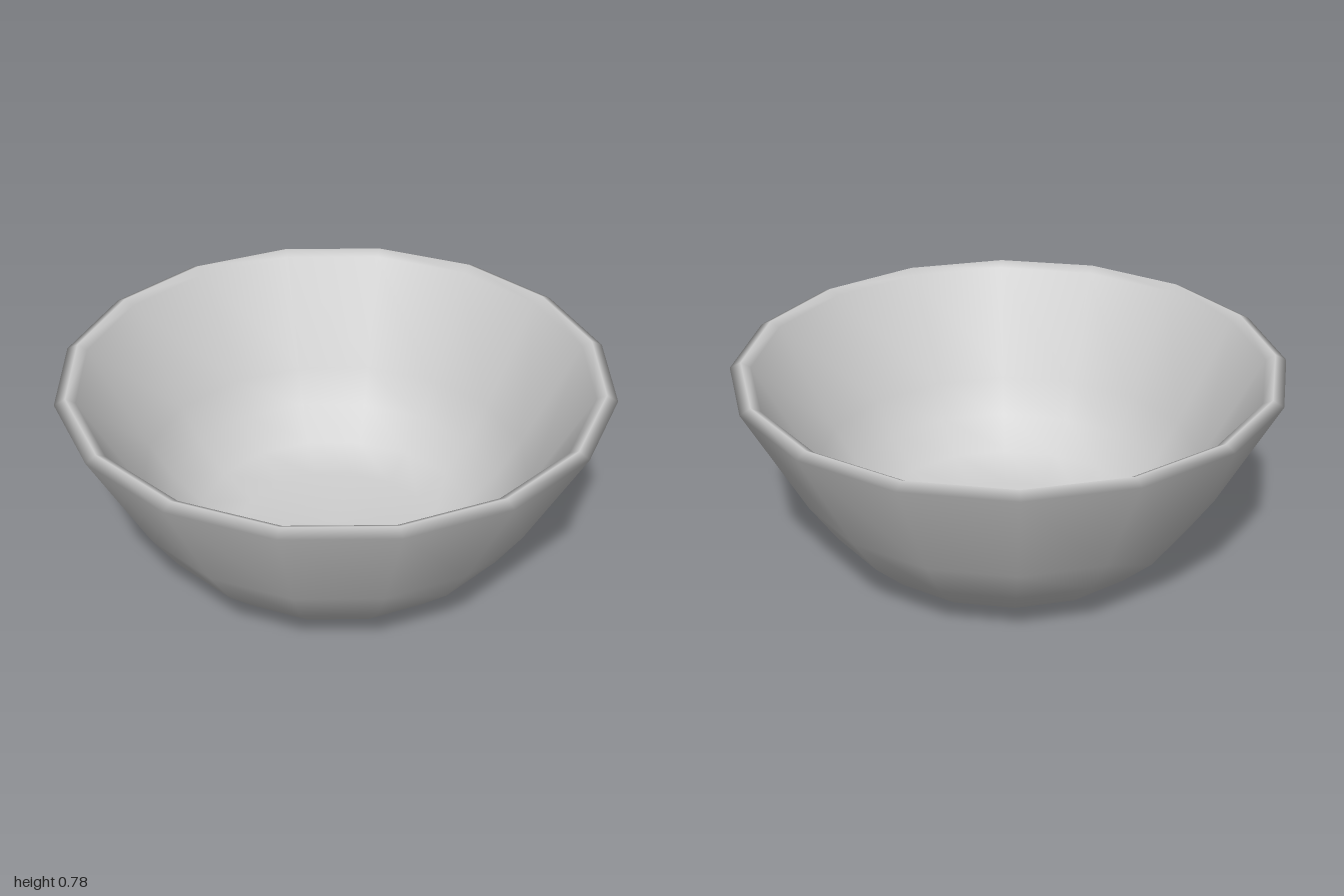
import * as THREE from 'three';

const SIDES = 16;

export function createModel() {
  const group = new THREE.Group();
  group.name = 'bowl';
  const grey = new THREE.MeshStandardMaterial({ color: 0xcccccc });
  grey.name = 'light grey';

  const addLathe = (name, profile) => {
    const points = profile.map(([r, y]) => new THREE.Vector2(r, y));
    const mesh = new THREE.Mesh(new THREE.LatheGeometry(points, SIDES), grey);
    mesh.name = name;
    group.add(mesh);
  };

  // Outer wall, rounded rim and inner wall as one smooth shell
  addLathe('bowlShell', [
    [0.41, 0], [0.555, 0.08], [0.68, 0.2], [0.78, 0.35], [1, 0.76],
    [0.96, 0.78], [0.925, 0.76],
    [0.715, 0.37], [0.63, 0.24], [0.52, 0.13], [0.39, 0.06], [0, 0.05],
  ]);

  // Flat underside with a sharp edge
  addLathe('base', [[0, 0], [0.41, 0]]);

  return group;
}
